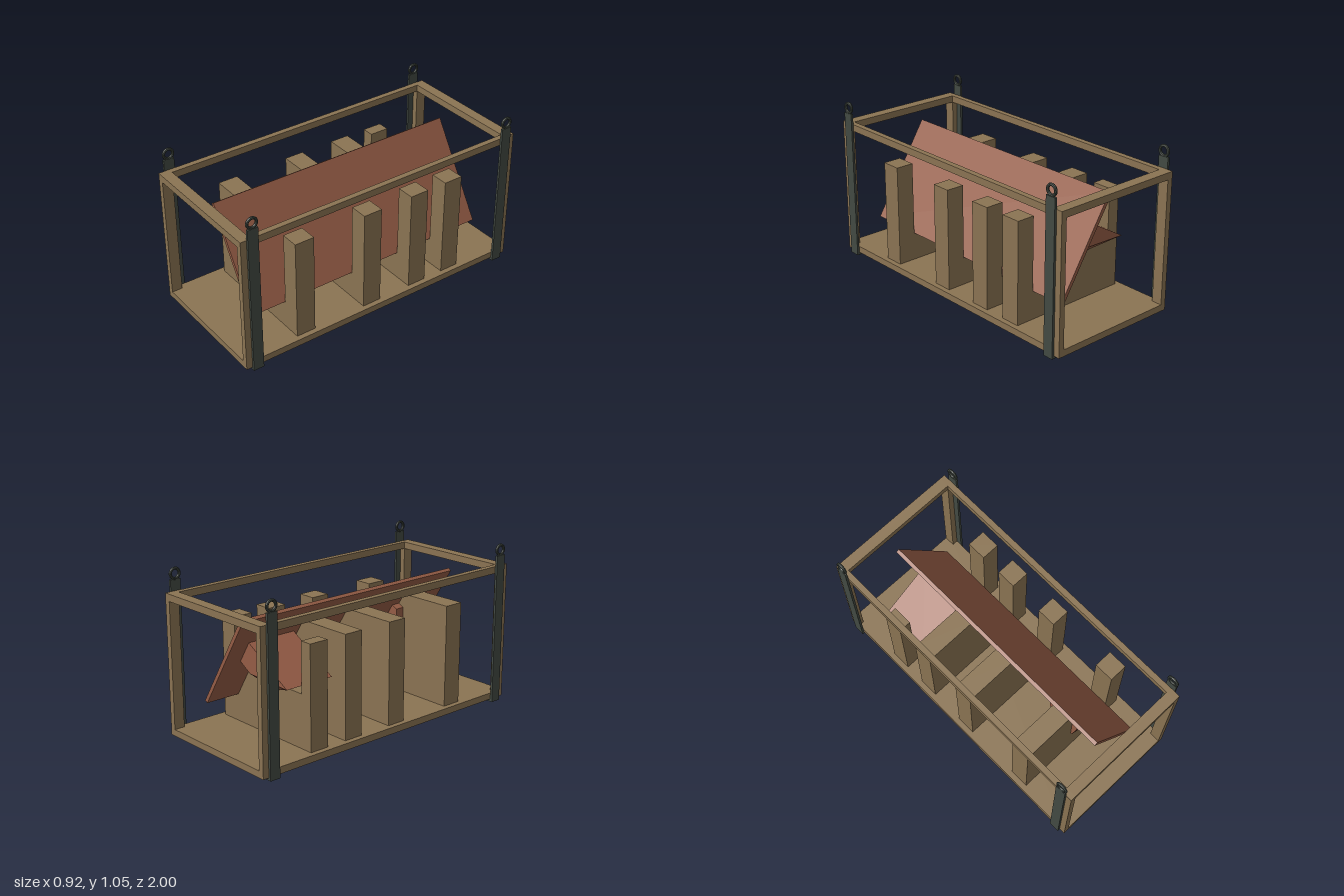
import * as THREE from 'three';
import { ConvexGeometry } from 'three/addons/geometries/ConvexGeometry.js';

const wood = new THREE.MeshStandardMaterial({ color: 0x8b7453, flatShading: true });
const red = new THREE.MeshStandardMaterial({ color: 0x965d46, flatShading: true });
const steel = new THREE.MeshStandardMaterial({ color: 0x434a43, flatShading: true });

export function createModel() {
  const model = new THREE.Group();
  model.name = 'transportCrate';

  const add = (name, geometry, material) => {
    const mesh = new THREE.Mesh(geometry, material);
    mesh.name = name;
    model.add(mesh);
    return mesh;
  };
  // Box given by its lower and upper corners
  const box = (name, material, x0, x1, y0, y1, z0, z1) => {
    const mesh = add(name, new THREE.BoxGeometry(x1 - x0, y1 - y0, z1 - z0), material);
    mesh.position.set((x0 + x1) / 2, (y0 + y1) / 2, (z0 + z1) / 2);
    return mesh;
  };
  // Profile in x and y, extruded from z0 to z1
  const slab = (name, material, points, z0, z1) => {
    const shape = new THREE.Shape(points.map(([x, y]) => new THREE.Vector2(x, y)));
    const geometry = new THREE.ExtrudeGeometry(shape, { depth: z1 - z0, bevelEnabled: false });
    return add(name, geometry.translate(0, 0, z0), material);
  };

  // Floor and open frame
  box('floor', wood, -0.445, 0.445, 0.017, 0.06, -1, 1);
  for (const s of [-1, 1]) {
    const x0 = s > 0 ? 0.408 : -0.445, z0 = s > 0 ? 0.93 : -1;
    box('topSideRail', wood, x0, x0 + 0.037, 0.865, 0.91, -1, 1);
    box('topEndRail', wood, -0.408, 0.408, 0.865, 0.91, z0, z0 + 0.07);
    for (const t of [-1, 1]) {
      const zp = t > 0 ? 0.93 : -1;
      box('cornerPost', wood, x0, x0 + 0.037, 0.06, 0.865, zp, zp + 0.07);
    }
  }

  // Steel straps with foot plates and lifting rings
  for (const s of [-1, 1]) {
    for (const t of [-1, 1]) {
      const z0 = t * 0.925 - 0.035, z1 = z0 + 0.07;
      const xs = [s * 0.445, s * 0.46].sort((a, b) => a - b);
      const xf = [s * 0.33, s * 0.46].sort((a, b) => a - b);
      box('strap', steel, ...xs, 0, 0.98, z0, z1);
      box('footPlate', steel, ...xf, 0, 0.017, z0, z1);
      const ring = add('liftingRing', new THREE.TorusGeometry(0.031, 0.0095, 8, 20), steel);
      ring.rotation.y = Math.PI / 2;
      ring.position.set(s * 0.45, 1.014, t * 0.925);
    }
  }

  // Cradle blocks, notched to hold the leaning panel
  const seat = [[-0.41, 0.06], [0.41, 0.06], [0.41, 0.72], [0.29, 0.72], [0.29, 0.24], [0.27, 0.235]];
  const plain = [...seat, [-0.034, 0.72], [-0.41, 0.72]];
  // This block is also cut out around the long bracket
  const relieved = [...seat, [0.15, 0.426], [0, 0.4], [-0.33, 0.4], [-0.33, 0.72], [-0.41, 0.72]];
  for (const [z0, z1] of [[0.49, 0.62], [0, 0.128], [-0.354, -0.225]])
    slab('cradleBlock', wood, plain, z0, z1);
  slab('cutCradleBlock', wood, relieved, -0.62, -0.49);

  // Leaning panel
  slab('panel', red, [[0.27, 0.233], [0.291, 0.245], [-0.079, 0.836], [-0.1, 0.823]], -0.853, 0.853);

  // Brackets on the underside of the panel
  const hull = (name, points) =>
    add(name, new ConvexGeometry(points.map((p) => new THREE.Vector3(...p))), red);
  const long = [[0.145, 0.425, -0.56], [-0.01, 0.325, -0.56]];
  for (const z of [-0.73, -0.39])
    long.push([0.01, 0.65, z], [0.095, 0.515, z], [0.005, 0.46, z], [-0.333, 0.45, z]);
  hull('longBracket', long);

  const short = [];
  for (const [zFace, zKeel] of [[0.66, 0.63], [0.43, 0.46]]) {
    for (const [x, y] of [[0.01, 0.65], [-0.03, 0.63], [-0.03, 0.51], [0.005, 0.46], [0.095, 0.515]])
      short.push([x, y, zFace]);
    for (const [x, y] of [[0.145, 0.425], [-0.01, 0.325], [-0.03, 0.345]])
      short.push([x, y, zKeel]);
  }
  hull('shortBracket', short);

  return model;
}
